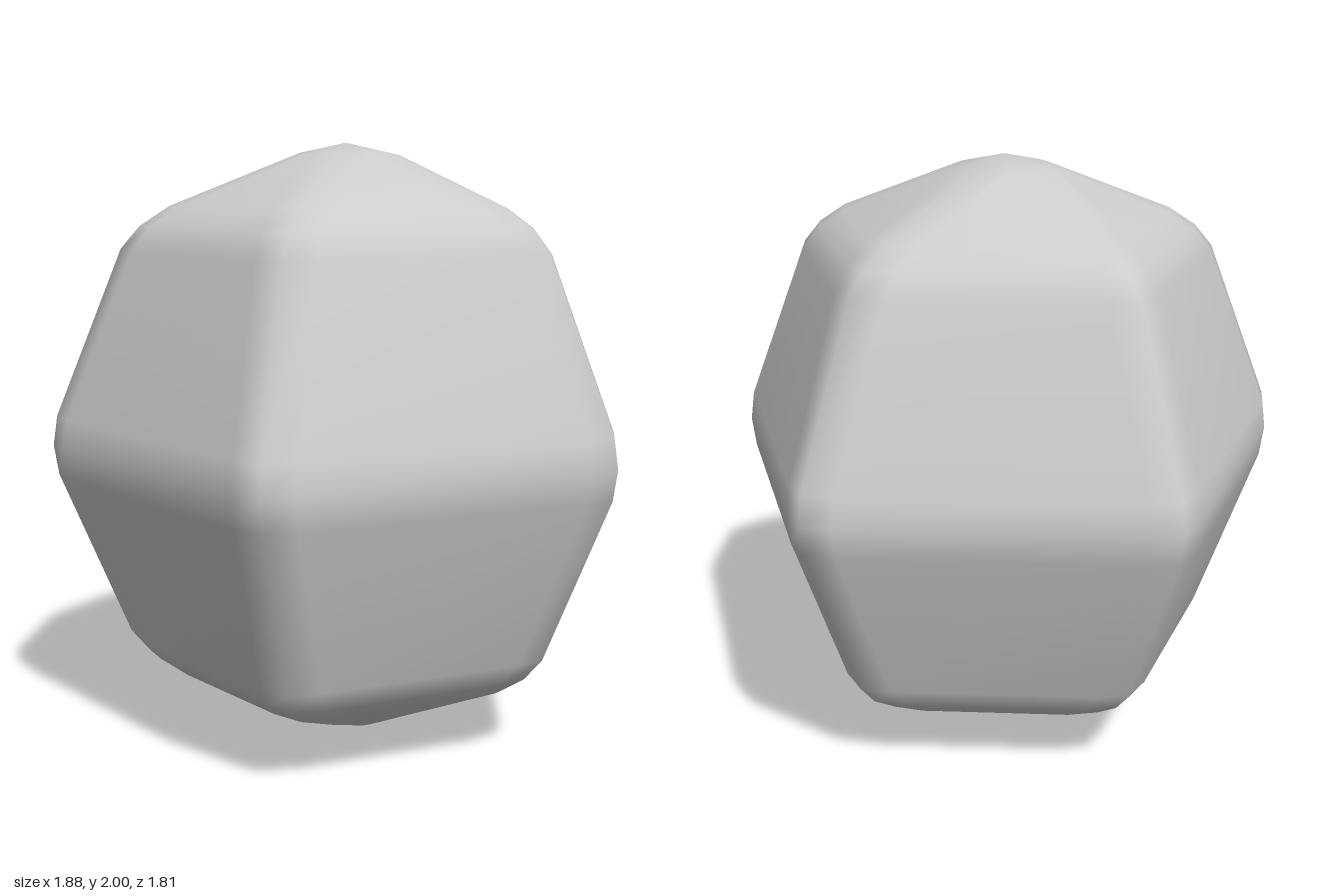
import * as THREE from 'three';

// Upper-half levels: [face distance from axis, face y, corner radius, corner y], y from the equator
const LEVELS = [
  [0.822, 0, 0.988, 0],
  [0.81, 0.1, 0.973, 0.1],
  [0.628, 0.65, 0.746, 0.655],
  [0.575, 0.73, 0.682, 0.73],
  [0.502, 0.79, 0.583, 0.795],
  [0.178, 0.96, 0.152, 0.967],
];
const SIDES = 5;
const BEVEL = 0.12; // inset of each flat face from its corner edge

// One five-sided loop: two face points and one rounded corner point per side
function addRing(positions, [apothem, faceY, radius, cornerY], sign) {
  const half = Math.max(0, apothem * Math.tan(Math.PI / SIDES) - BEVEL);
  for (let k = 0; k < SIDES; k++) {
    const t = (k * 2 * Math.PI) / SIDES;
    const s = Math.sin(t), c = Math.cos(t);
    for (const w of [-half, half]) {
      positions.push(apothem * s + w * c, sign * faceY, apothem * c - w * s);
    }
    const m = t + Math.PI / SIDES;
    positions.push(radius * Math.sin(m), sign * cornerY, radius * Math.cos(m));
  }
}

function bevelledGem() {
  const positions = [], index = [];
  const n = SIDES * 3;
  const rings = LEVELS.length * 2 - 1;

  // Mirrored levels, bottom to top
  for (let i = LEVELS.length - 1; i > 0; i--) addRing(positions, LEVELS[i], -1);
  for (const level of LEVELS) addRing(positions, level, 1);
  const bottom = rings * n, top = bottom + 1;
  positions.push(0, -1, 0, 0, 1, 0);

  // Side strips
  for (let r = 0; r < rings - 1; r++) {
    for (let j = 0; j < n; j++) {
      const a = r * n + j, b = r * n + ((j + 1) % n);
      index.push(a, b, b + n, a, b + n, a + n);
    }
  }
  // Pole fans
  const last = (rings - 1) * n;
  for (let j = 0; j < n; j++) {
    const k = (j + 1) % n;
    index.push(bottom, k, j, top, last + j, last + k);
  }

  const geometry = new THREE.BufferGeometry();
  geometry.setAttribute('position', new THREE.Float32BufferAttribute(positions, 3));
  geometry.setIndex(index);
  geometry.computeVertexNormals(); // area-weighted, so the flats stay flat
  return geometry;
}

export function createModel() {
  const group = new THREE.Group();
  group.name = 'facetedStone';
  const stone = new THREE.Mesh(bevelledGem(), new THREE.MeshStandardMaterial({ color: 0xcccccc }));
  stone.name = 'stone';
  stone.position.set(0, 1, 0.083);
  group.add(stone);
  return group;
}
